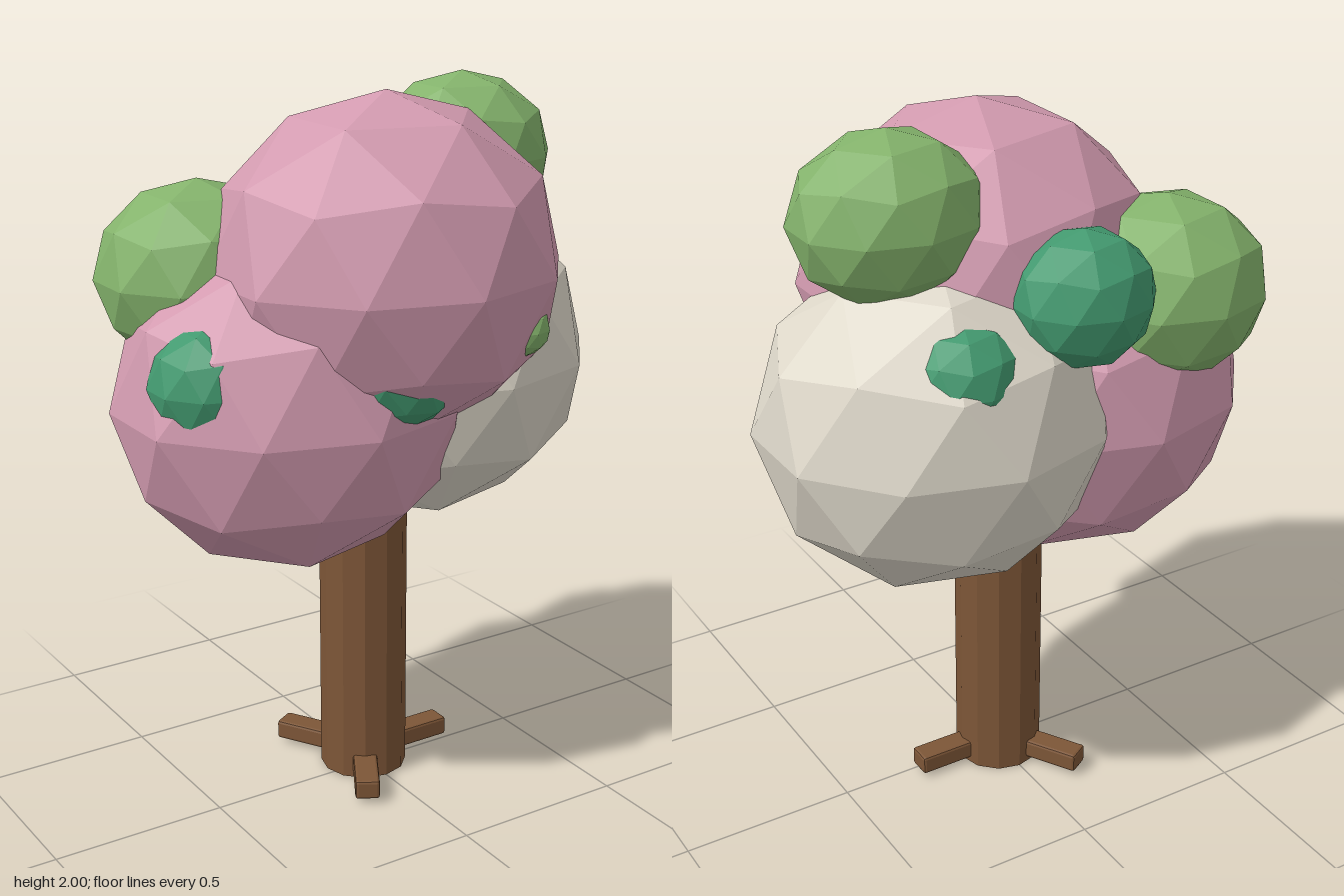
import * as THREE from 'three';
import { RoundedBoxGeometry } from 'three/addons/geometries/RoundedBoxGeometry.js';

const material = (color) => new THREE.MeshStandardMaterial({ color, flatShading: true });

export function createModel() {
  const tree = new THREE.Group();
  tree.name = 'tree';

  const bark = material(0x7d5637);
  const pink = material(0xd39bb0);
  const cream = material(0xded8ca);
  const green = material(0x84b36c);
  const teal = material(0x439a70);

  // Trunk, running up into the crown
  const trunkZ = -0.027;
  const trunk = new THREE.Mesh(new THREE.CylinderGeometry(0.125, 0.125, 1, 12), bark);
  trunk.name = 'trunk';
  trunk.position.set(0, 0.5, trunkZ);
  tree.add(trunk);

  // Three roots spread evenly around the foot
  const rootLength = 0.275;
  const rootGeometry = new RoundedBoxGeometry(rootLength, 0.056, 0.07, 1, 0.008);
  rootGeometry.translate(rootLength / 2, 0, 0);
  for (let i = 0; i < 3; i++) {
    const root = new THREE.Mesh(rootGeometry, bark);
    root.name = 'root' + (i + 1);
    root.position.set(0, 0.043, trunkZ);
    root.rotation.y = (i * Math.PI * 2) / 3;
    tree.add(root);
  }

  // Faceted ball with one corner pointing straight up
  const ball = new THREE.IcosahedronGeometry(1, 1);
  ball.rotateZ(-Math.atan(2 / (1 + Math.sqrt(5))));

  const crown = new THREE.Group();
  crown.name = 'crown';
  tree.add(crown);
  const addFoliage = (name, mat, position, radii) => {
    const mesh = new THREE.Mesh(ball, mat);
    mesh.name = name;
    mesh.position.set(...position);
    mesh.scale.set(...radii);
    crown.add(mesh);
  };

  // Large masses of the crown
  const large = [0.5, 0.47, 0.45];
  addFoliage('topFoliage', pink, [0, 1.52, 0.085], large);
  addFoliage('rightFoliage', pink, [-0.23, 1.164, -0.03], large);
  addFoliage('leftFoliage', cream, [0.23, 1.21, -0.09], large);

  // Medium clumps
  addFoliage('upperLeftClump', green, [0.345, 1.77, -0.06], [0.265, 0.23, 0.228]);
  addFoliage('upperRightClump', green, [-0.395, 1.49, -0.23], [0.288, 0.26, 0.273]);
  addFoliage('backClump', teal, [-0.05, 1.573, -0.355], [0.195, 0.185, 0.175]);

  // Clumps mostly buried, showing as patches
  addFoliage('backLeftPatch', teal, [0.29, 1.42, -0.335], [0.16, 0.15, 0.145]);
  addFoliage('rightPatch', teal, [-0.525, 1.28, 0.085], [0.175, 0.17, 0.17]);
  addFoliage('frontPatch', teal, [-0.1, 1.295, 0.275], [0.19, 0.165, 0.165]);
  addFoliage('frontLeftPatch', green, [0.24, 1.38, 0.36], [0.085, 0.08, 0.085]);

  return tree;
}
